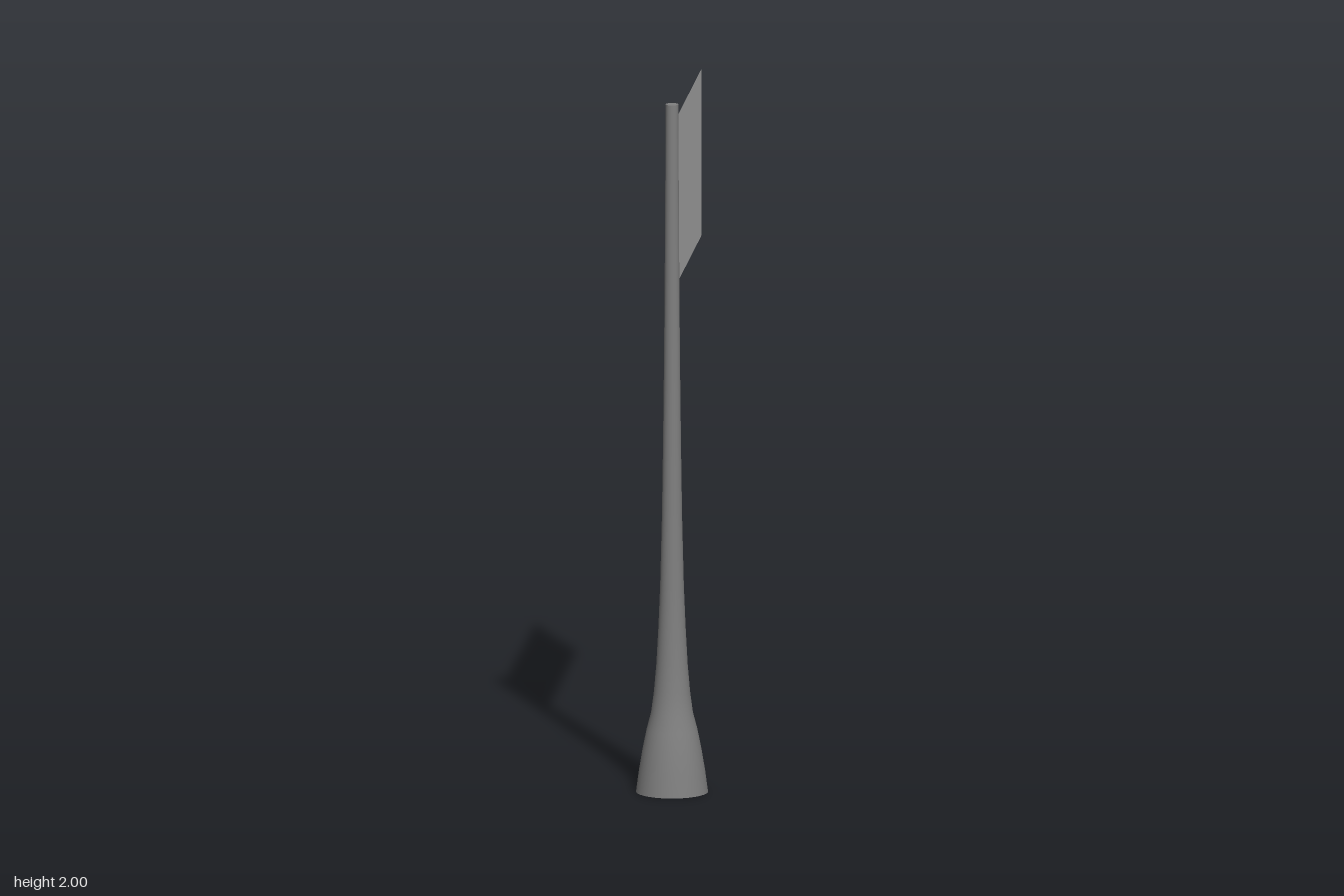
import * as THREE from 'three';

const POLE_Z = 0.364;

// Flat rectangle with slightly rounded corners
function roundedRect(x0, y0, x1, y1, r) {
  const s = new THREE.Shape();
  s.moveTo(x0 + r, y0);
  s.lineTo(x1 - r, y0);
  s.quadraticCurveTo(x1, y0, x1, y0 + r);
  s.lineTo(x1, y1 - r);
  s.quadraticCurveTo(x1, y1, x1 - r, y1);
  s.lineTo(x0 + r, y1);
  s.quadraticCurveTo(x0, y1, x0, y1 - r);
  s.lineTo(x0, y0 + r);
  s.quadraticCurveTo(x0, y0, x0 + r, y0);
  return s;
}

export function createModel() {
  const model = new THREE.Group();
  model.name = 'flagOnPole';

  const poleGrey = new THREE.MeshStandardMaterial({ color: 0x808080, side: THREE.DoubleSide });
  poleGrey.name = 'poleGrey';
  const flagGrey = new THREE.MeshStandardMaterial({ color: 0xb4b4b4, side: THREE.DoubleSide });
  flagGrey.name = 'flagGrey';

  // Tapered pole with a flared foot, open underneath
  const profile = [
    [0.103, 0], [0.095, 0.06], [0.085, 0.12], [0.073, 0.18], [0.06, 0.23],
    [0.052, 0.29], [0.045, 0.37], [0.039, 0.48], [0.034, 0.6], [0.029, 0.8],
    [0.026, 1.0], [0.023, 1.25], [0.021, 1.5], [0.018, 2.0],
  ].map(([r, y]) => new THREE.Vector2(r, y));
  const pole = new THREE.Mesh(new THREE.LatheGeometry(profile, 32), poleGrey);
  pole.name = 'pole';
  pole.position.z = POLE_Z;
  model.add(pole);

  // Flat cap closing the top of the pole
  const cap = new THREE.Mesh(new THREE.CircleGeometry(0.018, 32), poleGrey);
  cap.name = 'poleCap';
  cap.rotation.x = -Math.PI / 2;
  cap.position.set(0, 2, POLE_Z);
  model.add(cap);

  // Thin flag trailing backwards from the pole (shape x becomes -z)
  const flag = new THREE.Mesh(
    new THREE.ShapeGeometry(roundedRect(-0.343, 1.45, 0.467, 1.935, 0.018), 6), flagGrey);
  flag.name = 'flag';
  flag.rotation.y = Math.PI / 2;
  model.add(flag);

  return model;
}
